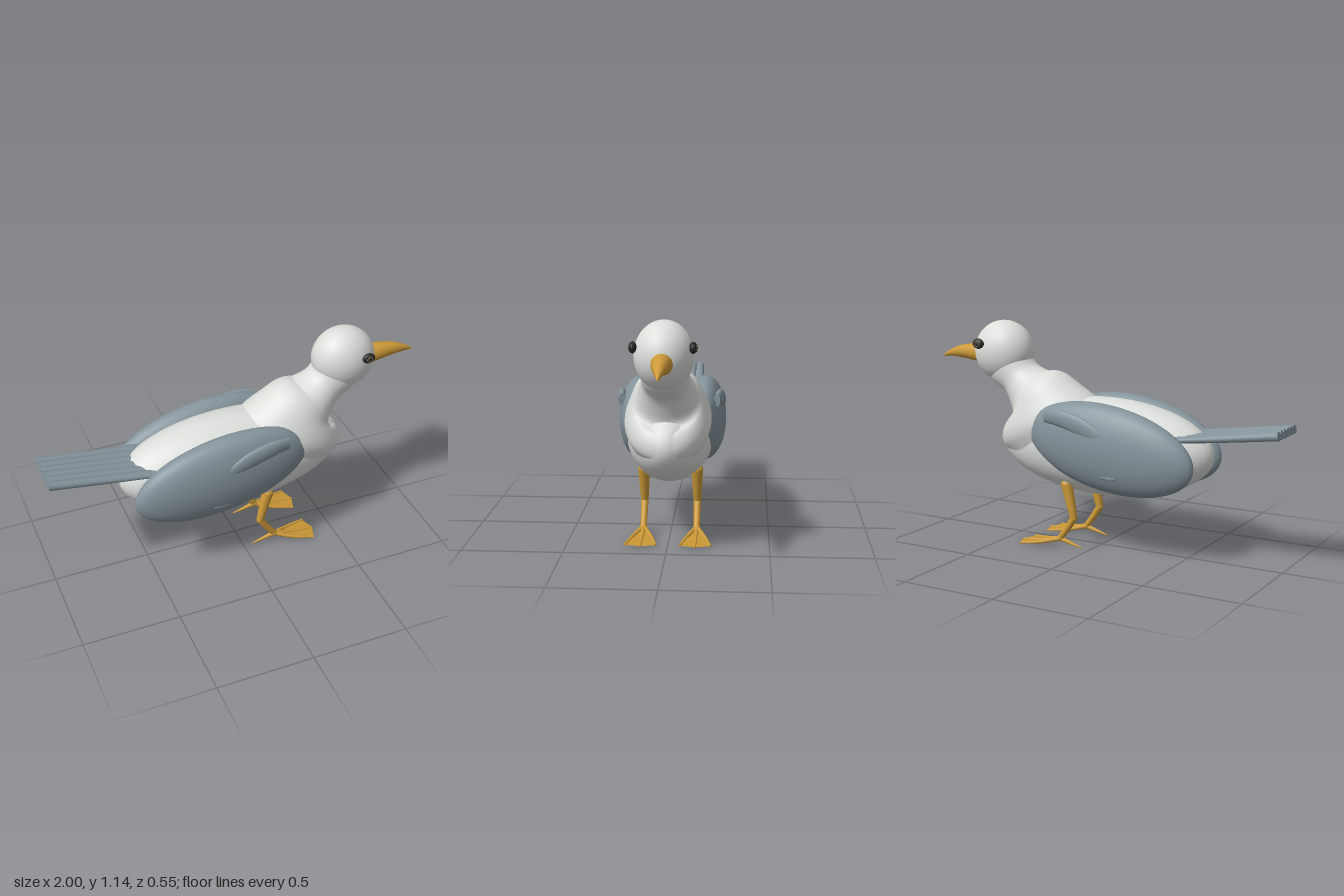
import * as THREE from 'three';

const mat = (name, color) => {
  const m = new THREE.MeshStandardMaterial({ color });
  m.name = name;
  return m;
};

// Lofted tube through stations [x, y, z, radius, sideRadius]
function loft(stations, steps = 24, sides = 24) {
  const path = new THREE.CatmullRomCurve3(stations.map(s => new THREE.Vector3(s[0], s[1], s[2])));
  const size = new THREE.CatmullRomCurve3(stations.map(s => new THREE.Vector3(s[3], s[4] ?? s[3], 0)));
  const pos = [], index = [], up = new THREE.Vector3(), side = new THREE.Vector3();
  const ring = t => {
    const c = path.getPoint(t), r = size.getPoint(t), dir = path.getTangent(t);
    side.set(0, 0, 1).addScaledVector(dir, -dir.z).normalize();
    up.crossVectors(side, dir);
    for (let j = 0; j < sides; j++) {
      const a = (j / sides) * Math.PI * 2;
      const p = c.clone().addScaledVector(up, Math.cos(a) * r.x).addScaledVector(side, Math.sin(a) * r.y);
      pos.push(p.x, p.y, p.z);
    }
    return c;
  };
  for (let i = 0; i <= steps; i++) ring(i / steps);
  for (let i = 0; i < steps; i++) {
    for (let j = 0; j < sides; j++) {
      const k = (j + 1) % sides, a = i * sides, b = a + sides;
      index.push(a + j, a + k, b + k, a + j, b + k, b + j);
    }
  }
  // End caps with their own vertices, so their rims stay sharp
  for (const t of [0, 1]) {
    const base = pos.length / 3, c = ring(t);
    pos.push(c.x, c.y, c.z);
    for (let j = 0; j < sides; j++) {
      const k = (j + 1) % sides;
      index.push(base + sides, base + (t ? j : k), base + (t ? k : j));
    }
  }
  const g = new THREE.BufferGeometry();
  g.setAttribute('position', new THREE.Float32BufferAttribute(pos, 3));
  g.setIndex(index);
  g.computeVertexNormals();
  return g;
}

export function createModel() {
  const root = new THREE.Group();
  root.name = 'seabird';
  const white = mat('white plumage', 0xdcdeda);
  const grey = mat('grey plumage', 0x84939b);
  const gold = mat('golden beak and legs', 0xcd9a38);
  const webGold = mat('golden webbing', 0xc89535);
  webGold.side = THREE.DoubleSide;
  const dark = mat('dark eye', 0x2c2b2c);
  const brown = mat('brown iris', 0x75604c);

  const add = (name, geometry, material, parent = root) => {
    const m = new THREE.Mesh(geometry, material);
    m.name = name;
    parent.add(m);
    return m;
  };
  const ellipsoid = (name, material, p, r, parent = root) => {
    const m = add(name, new THREE.SphereGeometry(1, 48, 32), material, parent);
    m.position.set(...p);
    m.scale.set(...r);
    return m;
  };

  // Body, neck and head
  ellipsoid('body', white, [-0.02, 0.53, 0], [0.605, 0.253, 0.23]);
  add('neck', loft([
    [0.27, 0.55, 0, 0.26, 0.19],
    [0.31, 0.63, 0, 0.295, 0.212],
    [0.37, 0.74, 0, 0.21, 0.175],
    [0.425, 0.79, 0, 0.138, 0.138],
    [0.49, 0.85, 0, 0.11, 0.115],
    [0.555, 0.915, 0, 0.132, 0.115],
    [0.59, 0.98, 0, 0.13, 0.11],
  ], 40, 40), white);
  ellipsoid('head', white, [0.593, 0.983, 0], [0.166, 0.164, 0.14]);

  // Hooked beak
  add('beak', loft([
    [0.72, 0.963, 0, 0.053],
    [0.8, 0.967, 0, 0.045],
    [0.88, 0.964, 0, 0.033],
    [0.95, 0.951, 0, 0.017],
    [1, 0.934, 0, 0.002],
  ]), gold);

  // Fan of round tail feathers
  const tail = new THREE.Group();
  tail.name = 'tail';
  root.add(tail);
  for (let i = 0; i < 6; i++) {
    const f = (i - 2.5) / 2.5;
    add('tailFeather', loft([
      [-0.42, 0.617, f * 0.115, 0.016, 0.032],
      [-0.7, 0.652, f * 0.11, 0.019, 0.025],
      [-1, 0.692, f * 0.104, 0.022, 0.022],
    ], 12, 16), grey, tail);
  }

  for (const s of [1, -1]) {
    // Folded wing with its raised feather lobe
    const wing = new THREE.Group();
    wing.name = s > 0 ? 'nearWing' : 'farWing';
    root.add(wing);
    ellipsoid('wingShell', grey, [-0.133, 0.555, s * 0.168], [0.467, 0.219, 0.107], wing)
      .rotation.z = 0.16;
    add('wingLobe', loft([
      [-0.17, 0.6, s * 0.258, 0.006, 0.004],
      [-0.1, 0.637, s * 0.258, 0.034, 0.014],
      [0, 0.677, s * 0.254, 0.046, 0.02],
      [0.1, 0.701, s * 0.247, 0.043, 0.022],
      [0.195, 0.703, s * 0.234, 0.033, 0.016],
    ]), grey, wing);
    add('wingBump', loft([
      [-0.25, 0.45, s * 0.25, 0.004, 0.004],
      [-0.2, 0.428, s * 0.248, 0.016, 0.012],
      [-0.13, 0.43, s * 0.247, 0.012, 0.01],
    ], 10, 12), grey, wing);

    // Eye: dark ball, brown iris ring and pupil
    const eye = new THREE.Group();
    eye.name = 'eye';
    eye.position.set(0.668, 1.03, s * 0.137);
    root.add(eye);
    ellipsoid('eyeball', dark, [0, 0, 0], [0.034, 0.027, 0.018], eye);
    const iris = add('iris', new THREE.TorusGeometry(0.0145, 0.0035, 8, 28), brown, eye);
    iris.position.z = s * 0.0155;
    iris.scale.z = 0.8;
    ellipsoid('pupil', dark, [0, 0, s * 0.0165], [0.009, 0.009, 0.004], eye);

    // Leg: thigh, shank and joints
    const leg = new THREE.Group();
    leg.name = s > 0 ? 'nearLeg' : 'farLeg';
    root.add(leg);
    const z = s * 0.135;
    add('upperLeg', loft([[0.13, 0.335, z, 0.03], [0.11, 0.25, z, 0.025], [0.09, 0.16, z, 0.019]], 8, 20), gold, leg);
    ellipsoid('hip', gold, [0.13, 0.335, z], [0.03, 0.03, 0.03], leg);
    ellipsoid('ankle', gold, [0.09, 0.16, z], [0.019, 0.019, 0.019], leg);
    add('lowerLeg', loft([[0.09, 0.16, z, 0.019], [0.13, 0.1, z, 0.017], [0.172, 0.045, z, 0.016]], 8, 20), gold, leg);
    ellipsoid('footJoint', gold, [0.172, 0.044, z], [0.019, 0.016, 0.018], leg);

    // Three front toes, one back toe
    const tips = [[0.375, -0.076], [0.4, 0], [0.375, 0.076]];
    for (const [x, dz] of tips) {
      add('frontToe', loft([
        [0.172, 0.042, z, 0.013],
        [0.27, 0.021, z + dz * 0.6, 0.009],
        [x, 0.009, z + dz, 0.006],
      ], 10, 10), gold, leg);
    }
    add('backToe', loft([[0.172, 0.042, z, 0.013], [0.11, 0.026, z, 0.009], [0.045, 0.01, z, 0.003]], 8, 10), gold, leg);

    // Webbing between the front toes
    const web = new THREE.BufferGeometry();
    const pts = [[0.172, 0.042, z]];
    for (const [x, dz] of tips) pts.push([0.27, 0.021, z + dz * 0.6], [x, 0.009, z + dz]);
    web.setAttribute('position', new THREE.Float32BufferAttribute(pts.flat(), 3));
    web.setIndex([0, 1, 3, 1, 2, 4, 1, 4, 3, 0, 3, 5, 3, 4, 6, 3, 6, 5].reverse());
    web.computeVertexNormals();
    add('webbing', web, webGold, leg);
  }
  return root;
}
